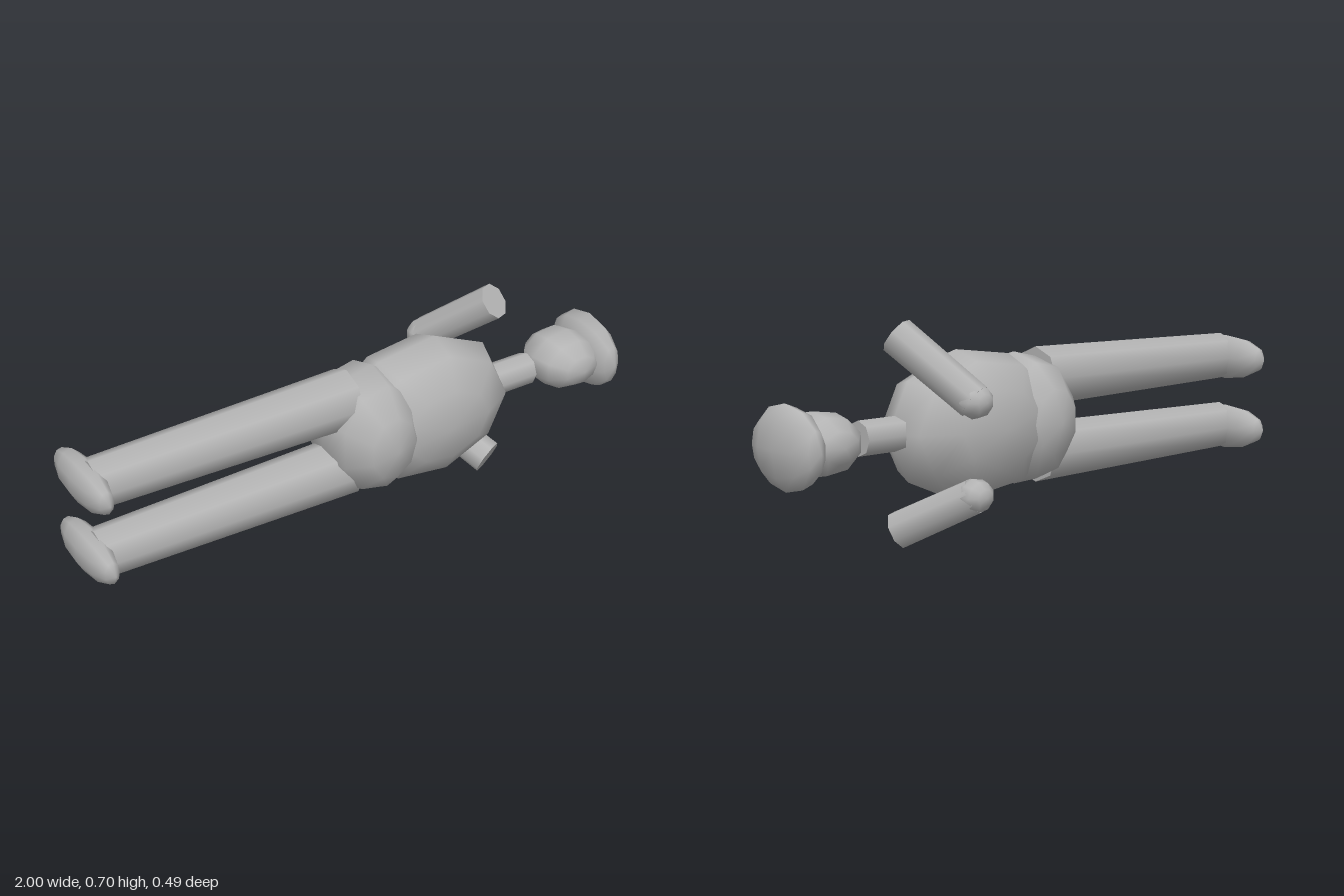
import * as THREE from 'three';

export function createModel() {
  const group = new THREE.Group();
  const grey = new THREE.MeshStandardMaterial({ color: 0xb4b4b4 });
  grey.name = 'grey';

  // coarse ball with poles along z, first vertex column on +x
  const ball = new THREE.SphereGeometry(1, 9, 6, Math.PI).rotateX(Math.PI / 2);

  function blob(name, position, radii) {
    const mesh = new THREE.Mesh(ball, grey);
    mesh.name = name;
    mesh.position.set(...position);
    mesh.scale.set(...radii);
    group.add(mesh);
  }

  // eight-sided limb between two points
  function limb(name, from, to, rFrom, rTo) {
    const a = new THREE.Vector3(...from);
    const b = new THREE.Vector3(...to);
    const mesh = new THREE.Mesh(new THREE.CylinderGeometry(rTo, rFrom, a.distanceTo(b), 8), grey);
    mesh.name = name;
    mesh.position.copy(a).add(b).multiplyScalar(0.5);
    mesh.quaternion.setFromUnitVectors(new THREE.Vector3(0, 1, 0), b.sub(a).normalize());
    group.add(mesh);
  }

  // body, lying along x with the head at +x
  blob('pelvis', [0.02, 0.355, 0.044], [0.17, 0.218, 0.2]);
  blob('torso', [0.24, 0.355, 0.04], [0.33, 0.244, 0.185]);
  limb('neck', [0.5, 0.355, 0.04], [0.685, 0.355, 0.04], 0.055, 0.055);
  blob('head', [0.83, 0.355, 0.043], [0.13, 0.1, 0.133]);
  blob('hat', [0.938, 0.355, 0.043], [0.062, 0.133, 0.16]);

  // legs and feet
  for (const [side, y] of [['upper', 0.481], ['lower', 0.233]]) {
    limb(side + 'Leg', [-0.95, y, 0.043], [-0.045, y, 0.042], 0.08, 0.098);
    blob(side + 'Foot', [-0.953, y - 0.002, 0.012], [0.05, 0.078, 0.17]);
  }

  // arms, each with a round joint at the back
  for (const [side, yJoint, yEnd] of [['upper', 0.465, 0.655], ['lower', 0.178, 0.055]]) {
    blob(side + 'ArmJoint', [0.42, yJoint, -0.186], [0.06, 0.054, 0.058]);
    limb(side + 'Arm', [0.42, yJoint, -0.186], [0.53, yEnd, 0.044], 0.057, 0.06);
  }

  return group;
}
